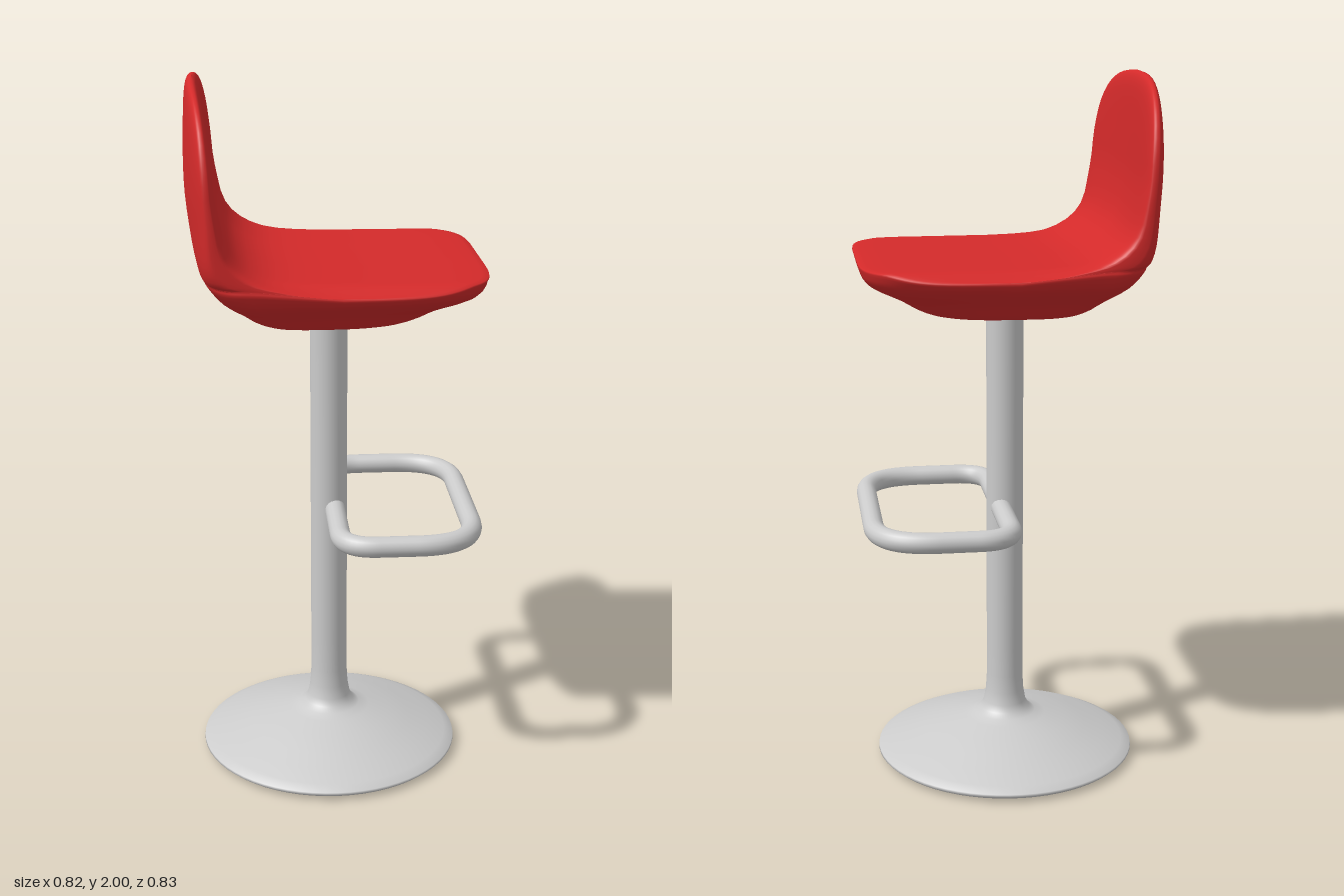
import * as THREE from 'three';

const AXIS_X = -0.015;
const grey = new THREE.MeshStandardMaterial({ color: 0xcccccc });
const red = new THREE.MeshStandardMaterial({ color: 0xd42a2a });

function addMesh(group, name, geometry, material) {
  const mesh = new THREE.Mesh(geometry, material);
  mesh.name = name;
  group.add(mesh);
  return mesh;
}

// One-piece seat: stacked superellipse rings that shrink from the cushion into the backrest
// [height, rear x, front x, half width, roundness exponent]
const RINGS = [
  [1.338, 0, 0, 0, 3],
  [1.342, -0.18, 0.17, 0.18, 3],
  [1.355, -0.235, 0.235, 0.23, 3.2],
  [1.395, -0.28, 0.3, 0.285, 3.8],
  [1.445, -0.33, 0.382, 0.38, 4.8],
  [1.485, -0.362, 0.402, 0.409, 5],
  [1.5, -0.37, 0.385, 0.41, 5],
  [1.502, -0.372, 0.2, 0.41, 5],
  [1.505, -0.374, -0.07, 0.41, 5],
  [1.525, -0.38, -0.21, 0.411, 4.5],
  [1.59, -0.395, -0.298, 0.413, 3.5],
  [1.7, -0.409, -0.334, 0.415, 3],
  [1.81, -0.411, -0.346, 0.405, 3],
  [1.9, -0.408, -0.354, 0.36, 2.8],
  [1.96, -0.404, -0.361, 0.275, 2.5],
  [1.99, -0.397, -0.371, 0.16, 2.3],
  [2.0, -0.384, -0.384, 0, 2],
];

function seatGeometry(segments = 96, steps = (RINGS.length - 1) * 3) {
  const positions = [], index = [];
  const { smoothstep } = THREE.MathUtils;
  const power = (v, n) => Math.sign(v) * Math.abs(v) ** (2 / n);
  const smooth = (points) => new THREE.CatmullRomCurve3(points, false, 'catmullrom', 0.5);
  const extents = smooth(RINGS.map(([y, rear, front]) => new THREE.Vector3(rear, y, front)));
  const outlines = smooth(RINGS.map(([, , , width, n]) => new THREE.Vector3(width, n, 0)));

  for (let i = 0; i <= steps; i++) {
    const { x: rear, y, z: front } = extents.getPoint(i / steps);
    const { x: halfWidth, y: n } = outlines.getPoint(i / steps);
    const centre = rear + Math.min(0.15, (front - rear) / 2);
    // The sides of the backrest curve gently forward
    const bow = 0.026 * smoothstep(y, 1.42, 1.7);
    for (let j = 0; j < segments; j++) {
      const t = (j / segments) * Math.PI * 2, c = Math.cos(t), s = Math.sin(t);
      const k = c > 0 ? n : Math.min(n, 4);
      const z = halfWidth * power(s, k);
      const x = centre + (c > 0 ? front - centre : centre - rear) * power(c, k) + bow * (z / 0.41) ** 2;
      // Soften the long side rims of the cushion
      const rim = smoothstep(Math.abs(z), 0.34, 0.415) * smoothstep(x, -0.26, 0);
      positions.push(x, y - 0.37 * rim * Math.max(0, y - 1.44), z);
    }
  }
  for (let i = 0; i < steps; i++) {
    for (let j = 0; j < segments; j++) {
      const a = i * segments + j, b = i * segments + (j + 1) % segments;
      const c = a + segments, d = b + segments;
      index.push(a, c, b, b, c, d);
    }
  }
  const geometry = new THREE.BufferGeometry();
  geometry.setAttribute('position', new THREE.Float32BufferAttribute(positions, 3));
  geometry.setIndex(index);
  geometry.computeVertexNormals();
  return geometry;
}

// Closed loop of straight runs joined by rounded corners
function roundedLoop(corners) {
  const path = new THREE.CurvePath();
  const count = corners.length;
  const cuts = corners.map(({ p, r }, i) => {
    const toward = (q) => p.clone().add(q.clone().sub(p).setLength(r));
    return [toward(corners[(i + count - 1) % count].p), toward(corners[(i + 1) % count].p)];
  });
  corners.forEach(({ p }, i) => {
    path.add(new THREE.QuadraticBezierCurve3(cuts[i][0], p, cuts[i][1]));
    path.add(new THREE.LineCurve3(cuts[i][1], cuts[(i + 1) % count][0]));
  });
  return path;
}

export function createModel() {
  const group = new THREE.Group();
  group.name = 'barStool';

  addMesh(group, 'seatShell', seatGeometry(), red);

  // Trumpet-shaped base
  const profile = [
    [0.37, 0.01], [0.378, 0.017], [0.377, 0.024], [0.35, 0.037], [0.3, 0.055], [0.24, 0.077],
    [0.18, 0.097], [0.12, 0.113], [0.09, 0.122], [0.072, 0.135], [0.062, 0.155],
    [0.056, 0.19], [0.053, 0.24], [0.053, 0.33],
  ].map(([r, y]) => new THREE.Vector2(r, y));
  addMesh(group, 'base', new THREE.LatheGeometry(profile, 64), grey).position.x = AXIS_X;

  // Slightly recessed underside with a shallow foot pad
  const underside = new THREE.CylinderGeometry(0.37, 0.37, 0.004, 64);
  addMesh(group, 'baseUnderside', underside, grey).position.set(AXIS_X, 0.012, 0);
  const pad = new THREE.CylinderGeometry(0.22, 0.21, 0.012, 64);
  addMesh(group, 'basePad', pad, grey).position.set(AXIS_X, 0.006, 0);

  // Column
  const column = new THREE.CylinderGeometry(0.053, 0.053, 1.24, 40);
  addMesh(group, 'column', column, grey).position.set(AXIS_X, 0.73, 0);

  // Footrest ring passing through the column
  const corner = (x, z, r) => ({ p: new THREE.Vector3(x, 0.762, z), r });
  const loop = roundedLoop([
    corner(0, 0.337, 0.1), corner(0.377, 0.337, 0.17),
    corner(0.377, -0.337, 0.17), corner(0, -0.337, 0.1),
  ]);
  addMesh(group, 'footrest', new THREE.TubeGeometry(loop, 160, 0.029, 16, true), grey);

  return group;
}
